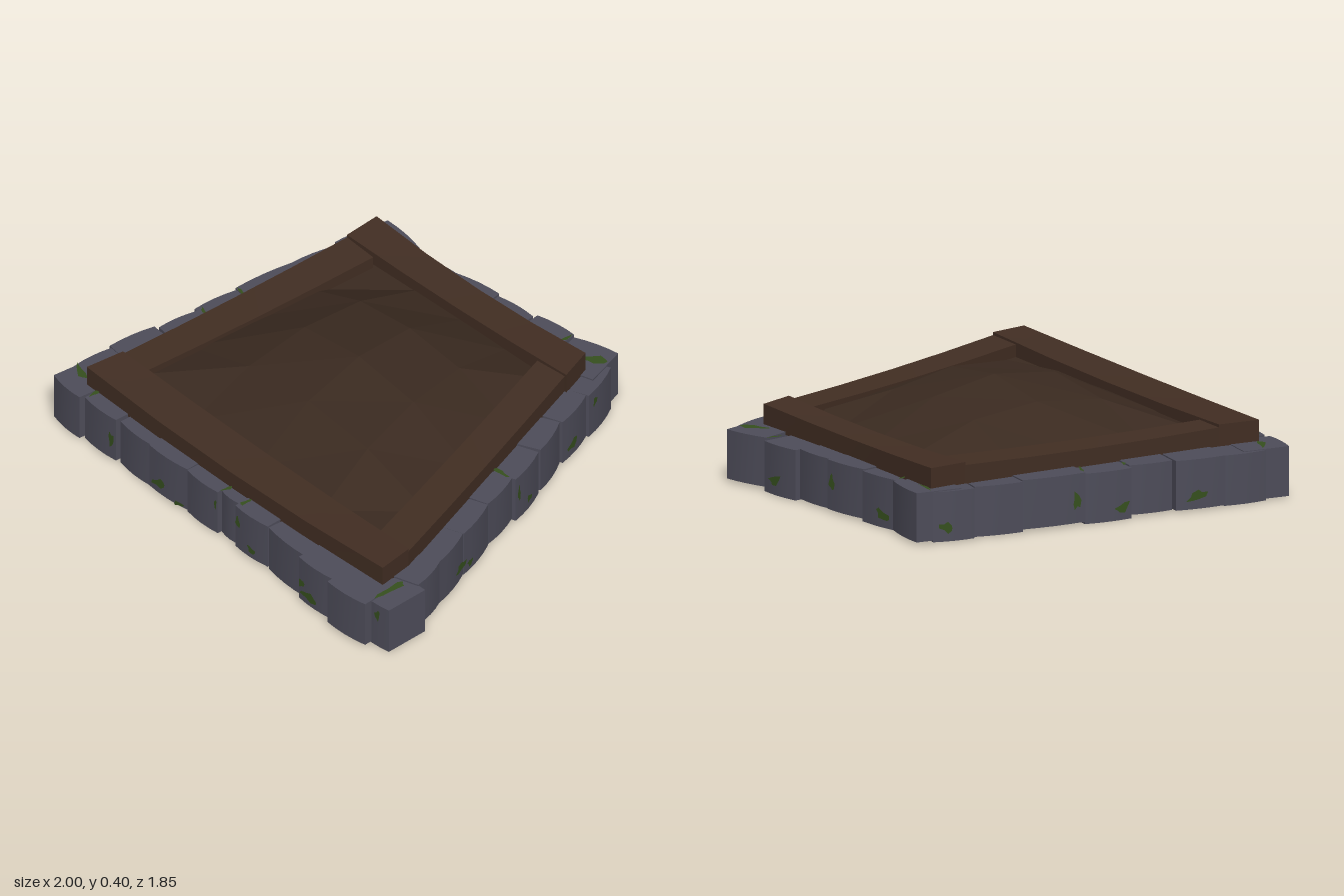
import * as THREE from 'three';

const mat = (name, color, side = THREE.FrontSide) => {
  const m = new THREE.MeshStandardMaterial({ color, side });
  m.name = name;
  return m;
};

// Outer edge of every stone in plan: x1, z1, x2, z2, running round the bed
const STONES = {
  front: [
    [-0.94, 0.92, -0.77, 0.92], [-0.755, 0.905, -0.57, 0.89], [-0.56, 0.875, -0.375, 0.865],
    [-0.37, 0.875, -0.16, 0.845], [-0.16, 0.845, 0.02, 0.83], [0.02, 0.81, 0.13, 0.8],
    [0.13, 0.825, 0.31, 0.8], [0.31, 0.795, 0.53, 0.785], [0.53, 0.81, 0.72, 0.785],
    [0.72, 0.81, 0.92, 0.775], [0.82, 0.745, 1.0, 0.72],
  ],
  right: [
    [0.94, 0.54, 0.87, 0.39], [0.865, 0.39, 0.77, 0.21], [0.775, 0.21, 0.68, 0.03],
    [0.68, 0.03, 0.6, -0.14], [0.61, -0.15, 0.52, -0.32], [0.52, -0.33, 0.42, -0.49],
    [0.425, -0.5, 0.34, -0.67], [0.345, -0.68, 0.25, -0.85],
  ],
  back: [
    [0.2, -0.92, 0.02, -0.84], [0, -0.855, -0.18, -0.81], [-0.18, -0.79, -0.36, -0.755],
    [-0.37, -0.765, -0.57, -0.705], [-0.57, -0.71, -0.77, -0.65], [-0.78, -0.68, -0.99, -0.68],
  ],
  left: [
    [-0.99, -0.61, -1, -0.44], [-0.98, -0.43, -0.99, -0.23], [-0.985, -0.23, -0.98, 0.04],
    [-0.975, 0.04, -0.97, 0.24], [-0.95, 0.24, -0.95, 0.42], [-0.965, 0.43, -0.965, 0.64],
    [-0.955, 0.64, -0.945, 0.82],
  ],
};
const DEPTH = 0.19;

// Bilinear point in a plan quad: a-b outer edge, d-c inner edge
function quadPoint([a, b, c, d], u, v) {
  const mix = (i) => (d[i] + (c[i] - d[i]) * u) * (1 - v) + (a[i] + (b[i] - a[i]) * u) * v;
  return [mix(0), mix(1)];
}

// Box bent onto a plan quad, with optional mid-length sag and plan bulge of the outer face
function block(quad, y0, y1, sag = 0, bulge = 0) {
  const geo = new THREE.BoxGeometry(1, 1, 1, 4, 1, 1);
  const p = geo.attributes.position;
  const [a, b] = quad;
  const len = Math.hypot(b[0] - a[0], b[1] - a[1]);
  const n = [-(b[1] - a[1]) / len, (b[0] - a[0]) / len];
  for (let i = 0; i < p.count; i++) {
    const u = p.getX(i) + 0.5, v = p.getZ(i) + 0.5;
    const arch = 4 * u * (1 - u);
    const [x, z] = quadPoint(quad, u, v);
    const y = (p.getY(i) > 0 ? y1 : y0) - sag * arch;
    p.setXYZ(i, x + n[0] * bulge * arch * v, y, z + n[1] * bulge * arch * v);
  }
  geo.computeVertexNormals();
  return geo;
}

// Irregular flat blotch
function blotch(w, h, seed) {
  const shape = new THREE.Shape();
  for (let i = 0; i < 9; i++) {
    const t = (i / 9) * Math.PI * 2;
    const r = 0.5 * (0.75 + 0.25 * Math.sin(seed * 3.7 + i * 2.3));
    const x = Math.cos(t) * r * w, y = Math.sin(t) * r * h + x * 0.3 * Math.sin(seed);
    if (i) shape.lineTo(x, y); else shape.moveTo(x, y);
  }
  return new THREE.ShapeGeometry(shape);
}

export function createModel() {
  const group = new THREE.Group();
  group.name = 'raisedGardenBed';
  const stone = mat('slate stone', 0x4e4d5a);
  const wood = mat('brown wood', 0x422e23);
  const soil = mat('dark soil', 0x3a2a20, THREE.DoubleSide);
  const moss = mat('green moss', 0x36501e, THREE.DoubleSide);
  const add = (name, geo, material) => {
    const m = new THREE.Mesh(geo, material);
    m.name = name;
    group.add(m);
    return m;
  };

  // Stone border
  let k = 0;
  for (const [side, list] of Object.entries(STONES)) {
    for (const [x1, z1, x2, z2] of list) {
      const len = Math.hypot(x2 - x1, z2 - z1);
      const nx = (-(z2 - z1) / len) * DEPTH, nz = ((x2 - x1) / len) * DEPTH;
      const quad = [[x1, z1], [x2, z2], [x2 - nx, z2 - nz], [x1 - nx, z1 - nz]];
      const wob = 0.006 * Math.sin(k++ * 2.4);
      add(side + 'Stone', block(quad, 0.006 + wob, 0.203 + wob * 0.6, 0, 0.008), stone);
    }
  }

  // Moss on the stone faces: side, stone index, place along it, height, width, tall, inner face
  const patches = [
    ['front', 1, 0.88, 0.1, 0.04, 0.09], ['front', 3, 0.3, 0.06, 0.1, 0.05], ['front', 3, 0.8, 0.02, 0.07, 0.025],
    ['front', 4, 0.95, 0.14, 0.02, 0.06], ['front', 6, 0.1, 0.14, 0.03, 0.07], ['front', 6, 0.55, 0.05, 0.06, 0.04],
    ['front', 8, 0.35, 0.05, 0.12, 0.05], ['front', 8, 0.1, 0.09, 0.04, 0.05], ['front', 10, 0.7, 0.15, 0.04, 0.06],
    ['right', 1, 0.85, 0.06, 0.1, 0.05], ['right', 2, 0.2, 0.04, 0.06, 0.04], ['right', 4, 0.1, 0.12, 0.03, 0.09],
    ['right', 4, 0.5, 0.05, 0.05, 0.04], ['right', 6, 0.35, 0.06, 0.11, 0.05], ['right', 7, 0.2, 0.15, 0.04, 0.05],
    ['back', 1, 0.4, 0.06, 0.09, 0.05], ['back', 3, 0.15, 0.12, 0.04, 0.08], ['back', 4, 0.6, 0.05, 0.1, 0.05],
    ['left', 0, 0.3, 0.06, 0.08, 0.05], ['left', 2, 0.85, 0.1, 0.04, 0.09], ['left', 3, 0.8, 0.05, 0.08, 0.05],
    ['left', 5, 0.4, 0.06, 0.1, 0.05],
    ['front', 4, 0.5, 0.08, 0.05, 0.08, true], ['front', 7, 0.3, 0.08, 0.05, 0.08, true],
    ['left', 2, 0.5, 0.09, 0.05, 0.08, true], ['left', 4, 0.3, 0.08, 0.05, 0.07, true],
  ];
  patches.forEach(([side, i, t, y, w, h, inner], n) => {
    const [x1, z1, x2, z2] = STONES[side][i];
    const len = Math.hypot(x2 - x1, z2 - z1);
    const nx = -(z2 - z1) / len, nz = (x2 - x1) / len;
    const off = inner ? -DEPTH - 0.003 : 0.003 + 0.032 * t * (1 - t);
    const m = add('mossPatch', blotch(w, h, n), moss);
    m.position.set(x1 + (x2 - x1) * t + nx * off, y, z1 + (z2 - z1) * t + nz * off);
    m.rotation.y = Math.atan2(nx, nz) + (inner ? Math.PI : 0);
  });

  // Moss on top of the stones: x, z, length, width, turn
  const tops = [
    [0.18, -0.82, 0.16, 0.06, 0.5], [0.905, 0.64, 0.19, 0.04, -1.4], [-0.885, 0.83, 0.13, 0.04, 0],
    [0.545, -0.12, 0.1, 0.03, 0.5], [-0.93, -0.615, 0.13, 0.02, 0], [-0.75, 0.86, 0.07, 0.025, 1.4],
    [0.14, 0.785, 0.07, 0.025, 1.3], [0.03, 0.79, 0.07, 0.02, 1.4], [-0.94, 0.04, 0.09, 0.018, 0],
    [-0.93, 0.225, 0.06, 0.018, 0], [0.01, -0.81, 0.08, 0.02, -1.4], [-0.765, -0.635, 0.05, 0.02, -1.3],
  ];
  tops.forEach(([x, z, l, w, turn], n) => {
    const geo = blotch(l, w, n + 40).rotateX(-Math.PI / 2).rotateY(turn);
    add('mossTop', geo, moss).position.set(x, 0.21, z);
  });

  // Timber frame lying on the stones
  const planks = {
    frontPlank: [[[-0.82, 0.85], [0.86, 0.65], [0.82, 0.5], [-0.82, 0.68]], 0.2, 0.287, 0.014, 0.02],
    backPlank: [[[0.21, -0.76], [-0.95, -0.6], [-0.92, -0.44], [0.28, -0.62]], 0.2, 0.287, 0.014, -0.015],
    rightPlank: [[[0.82, 0.5], [0.27, -0.62], [0.13, -0.59], [0.66, 0.53]], 0.19, 0.275, 0.008, 0],
    leftPlank: [[[-0.92, -0.44], [-0.82, 0.68], [-0.68, 0.67], [-0.76, -0.45]], 0.19, 0.275, 0.008, 0],
  };
  for (const [name, args] of Object.entries(planks)) add(name, block(...args), wood);

  // Faceted soil mound
  const bed = [[-0.75, 0.7], [0.74, 0.55], [0.2, -0.6], [-0.8, -0.47]];
  const mound = new THREE.PlaneGeometry(1, 1, 4, 4).rotateX(-Math.PI / 2);
  const p = mound.attributes.position;
  const rise = (t) => Math.pow(Math.max(0, Math.sin(Math.PI * t)), 0.75);
  for (let i = 0; i < p.count; i++) {
    const u = p.getX(i) + 0.5, v = p.getZ(i) + 0.5;
    const [x, z] = quadPoint(bed, u, v);
    p.setXYZ(i, x, 0.225 + 0.177 * rise(u) * rise(v), z);
  }
  const facets = mound.toNonIndexed();
  facets.computeVertexNormals();
  add('soilMound', facets, soil);

  return group;
}
